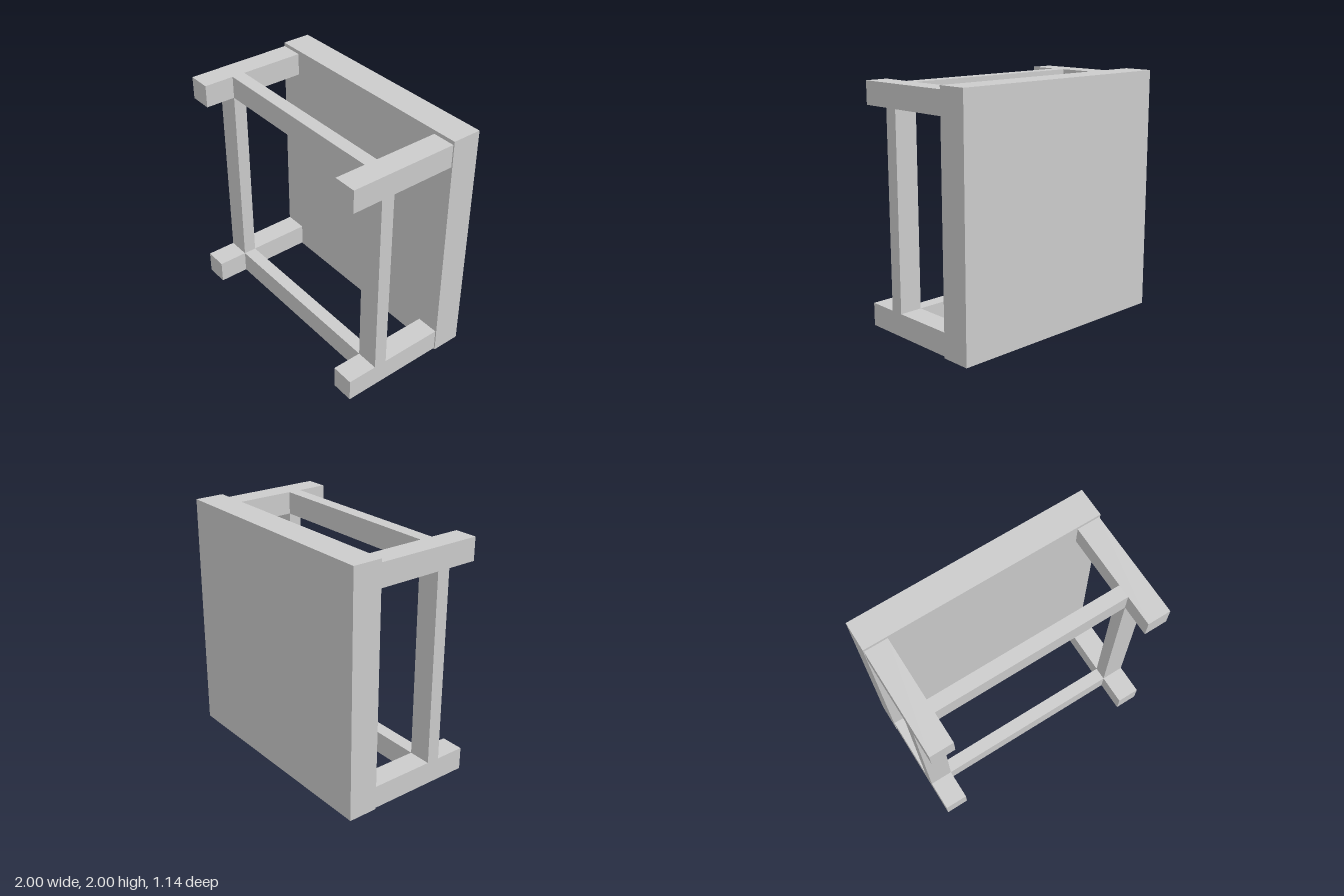
import * as THREE from 'three';

export function createModel() {
  const model = new THREE.Group();
  const material = new THREE.MeshStandardMaterial({ color: 0xcccccc, flatShading: true });

  // Box given by its extents along each axis
  function box(name, [x0, x1], [y0, y1], [z0, z1]) {
    const mesh = new THREE.Mesh(new THREE.BoxGeometry(x1 - x0, y1 - y0, z1 - z0), material);
    mesh.position.set((x0 + x1) / 2, (y0 + y1) / 2, (z0 + z1) / 2);
    mesh.name = name;
    model.add(mesh);
  }

  const sides = { right: [-0.996, -0.804], left: [0.8, 0.99] };
  const levels = { lower: [0.008, 0.196], upper: [1.784, 1.97] };
  const legDepth = [-0.325, 0.57];
  const railDepth = [0.21, 0.32];

  // Thick square top, standing on its edge
  box('tableTop', [-1, 1], [0, 2], [-0.57, -0.325]);

  // Four legs projecting forward from the corners
  for (const [side, x] of Object.entries(sides))
    for (const [level, y] of Object.entries(levels))
      box(`${level}${side === 'left' ? 'Left' : 'Right'}Leg`, x, y, legDepth);

  // Stretchers joining the legs in a square frame
  for (const [level, y] of Object.entries(levels))
    box(`${level}Stretcher`, [sides.right[1], sides.left[0]], y, railDepth);
  for (const [side, x] of Object.entries(sides))
    box(`${side}Stretcher`, x, [levels.lower[1], levels.upper[0]], railDepth);

  return model;
}
